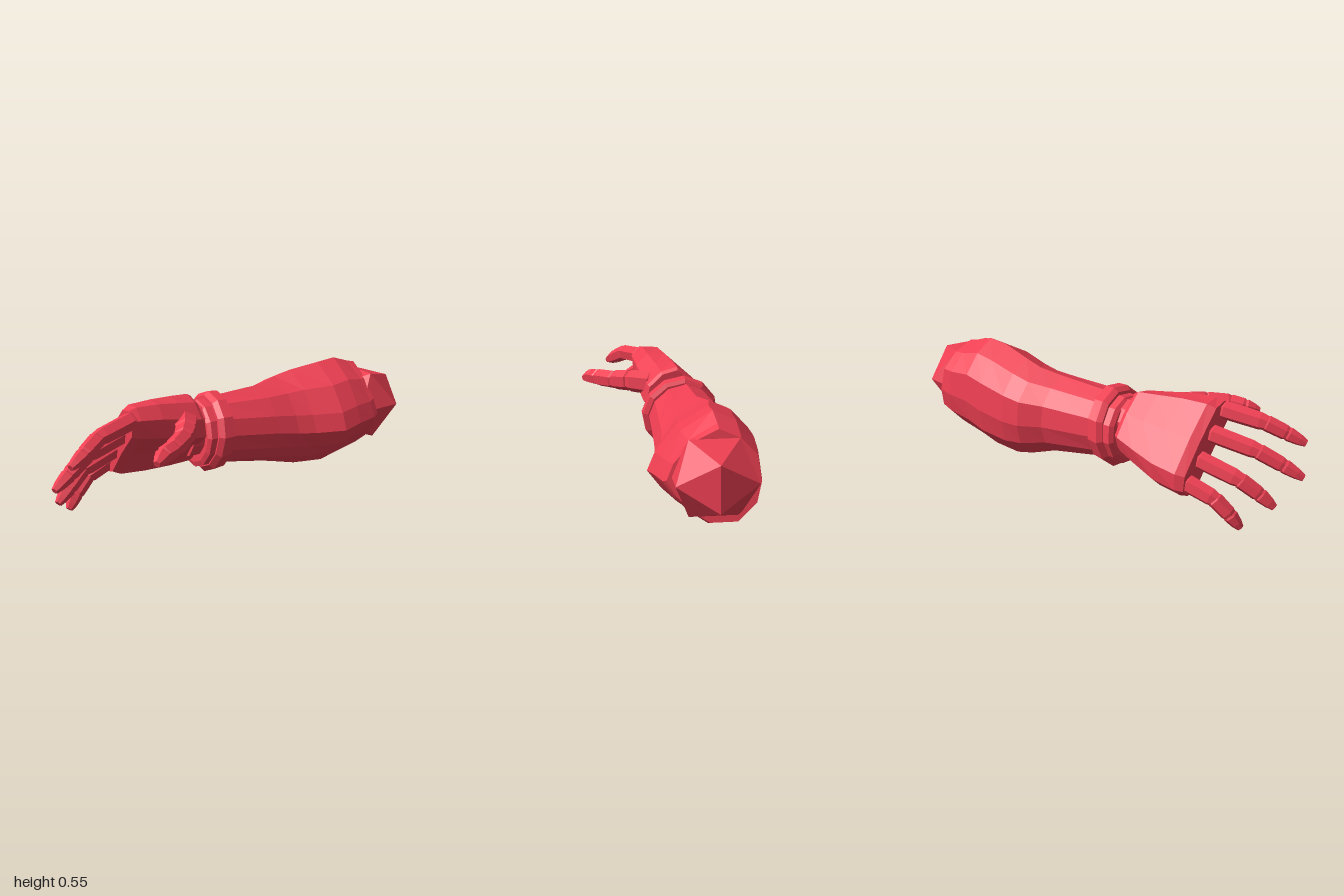
import * as THREE from 'three';

const material = new THREE.MeshStandardMaterial({ color: 0xee3f52, flatShading: true });

// Skins a list of rings (arrays of Vector3, counter-clockwise about the travel direction) and caps both ends
function loft(name, rings) {
  const n = rings[0].length, pos = [];
  const tri = (...pts) => pts.forEach(p => pos.push(p.x, p.y, p.z));
  for (let i = 0; i < rings.length - 1; i++) {
    for (let j = 0; j < n; j++) {
      const k = (j + 1) % n, a = rings[i], b = rings[i + 1];
      tri(a[j], a[k], b[k]);
      tri(a[j], b[k], b[j]);
    }
  }
  const centre = ring => ring.reduce((s, p) => s.add(p), new THREE.Vector3()).divideScalar(n);
  const first = rings[0], last = rings[rings.length - 1];
  const c0 = centre(first), c1 = centre(last);
  for (let j = 0; j < n; j++) {
    const k = (j + 1) % n;
    tri(c0, first[k], first[j]);
    tri(c1, last[j], last[k]);
  }
  const geo = new THREE.BufferGeometry();
  geo.setAttribute('position', new THREE.Float32BufferAttribute(pos, 3));
  geo.computeVertexNormals();
  const mesh = new THREE.Mesh(geo, material);
  mesh.name = name;
  return mesh;
}

// Unit outline of the forearm as [z, y], from the top round the back
const ARM = [[-0.11, 1], [-0.56, 0.81], [-0.92, 0.46], [-1, -0.09], [-0.92, -0.55], [-0.52, -0.98],
  [0.09, -1], [0.45, -0.75], [0.74, -0.48], [1, -0.15], [0.86, 0.18], [0.49, 0.65]];

// Ring across the arm fitted to y and z limits; round blends to a circle, tilts lean it along x
function armRing([x, y0, y1, z0, z1, round = 0, tiltY = 0, tiltZ = 0]) {
  return ARM.map(([z, y], i) => {
    const a = i / ARM.length * Math.PI * 2 + 0.1;
    const u = THREE.MathUtils.lerp(z, -Math.sin(a), round);
    const v = THREE.MathUtils.lerp(y, Math.cos(a), round);
    return new THREE.Vector3(x + tiltY * v + tiltZ * u,
      (y0 + y1) / 2 + v * (y1 - y0) / 2, (z0 + z1) / 2 + u * (z1 - z0) / 2);
  });
}

// Hand outline: first value along the knuckle line, second towards the back of the hand
const HAND = [[1, -0.4], [1, 0.4], [0.75, 1], [0, 1.1], [-0.75, 1], [-1, 0.4],
  [-1, -0.4], [-0.7, -1], [0, -0.9], [0.7, -1]];

function handRing([x, y, z, a, b]) {
  return HAND.map(([w, n]) => new THREE.Vector3(x,
    y + 0.72 * a * w + 0.69 * b * n, z + 0.69 * a * w - 0.72 * b * n));
}

// Jointed digit: one tapered hexagonal plate per bone
function digit(name, points, radii) {
  const group = new THREE.Group();
  group.name = name;
  const path = points.map(p => new THREE.Vector3(...p));
  for (let i = 0; i < path.length - 1; i++) {
    const a = path[i], b = path[i + 1];
    const t = b.clone().sub(a).normalize();
    const u = new THREE.Vector3(0, 0.72, 0.69).addScaledVector(t, -t.y * 0.72 - t.z * 0.69).normalize();
    const v = t.clone().cross(u);
    const tip = i === path.length - 2;
    const steps = tip ? [[-0.1, 0.85], [0.1, 1.08], [0.65, 1.08], [1, 0.85]]
      : [[-0.06, 0.8], [0.08, 1.02], [0.88, 1.06], [1.08, 0.85]];
    const rings = steps.map(([s, k]) => {
      const r = THREE.MathUtils.lerp(radii[i], radii[i + 1], Math.max(0, s)) * k;
      const c = a.clone().lerp(b, s);
      return Array.from({ length: 6 }, (_, j) => {
        const q = (j + 0.5) / 6 * Math.PI * 2;
        return c.clone().addScaledVector(u, Math.cos(q) * r).addScaledVector(v, Math.sin(q) * r);
      });
    });
    group.add(loft(name + 'Bone' + (i + 1), rings));
  }
  return group;
}

export function createModel() {
  const model = new THREE.Group();
  model.name = 'armoredForearm';

  // Elbow ball
  const elbow = new THREE.Mesh(new THREE.IcosahedronGeometry(0.209, 0), material);
  elbow.name = 'elbowJoint';
  elbow.geometry.rotateY(Math.PI / 2).rotateZ(0.07).scale(1, 0.95, 1);
  elbow.position.set(0.81, 0.308, -0.13);
  model.add(elbow);

  // Forearm sleeve, elbow to wrist: x, y limits, z limits, roundness, tilts
  model.add(loft('forearm', [
    [0.805, 0.11, 0.515, -0.33, 0.07, 0.2, -0.025, -0.025],
    [0.76, 0.09, 0.525, -0.34, 0.085, 0.1, -0.02, -0.01],
    [0.65, 0.063, 0.555, -0.345, 0.11],
    [0.55, 0.038, 0.545, -0.355, 0.13],
    [0.40, 0.038, 0.52, -0.36, 0.085, 0.15],
    [0.31, 0.058, 0.497, -0.35, 0.07, 0.3],
    [0.20, 0.088, 0.477, -0.30, 0.065, 0.5],
    [-0.08, 0.135, 0.465, -0.26, 0.06, 0.8],
  ].map(armRing)));

  // Wrist cuff: broad band, then narrow band, then the recessed joint
  model.add(loft('wristCuff', [
    [-0.055, 0.13, 0.47, -0.26, 0.065, 0.9, 0.015],
    [-0.068, 0.11, 0.488, -0.28, 0.088, 0.9, 0.018],
    [-0.12, 0.10, 0.492, -0.285, 0.09, 0.9, 0.022],
    [-0.143, 0.125, 0.475, -0.265, 0.07, 0.9, 0.02],
  ].map(armRing)));
  model.add(loft('wristBand', [
    [-0.13, 0.13, 0.46, -0.26, 0.06, 0.9, 0.02],
    [-0.175, 0.13, 0.46, -0.26, 0.06, 0.9, 0.015],
    [-0.188, 0.155, 0.44, -0.24, 0.04, 0.9, 0.01],
  ].map(armRing)));
  model.add(loft('wristJoint', [
    [-0.17, 0.19, 0.45, -0.21, 0.02, 1],
    [-0.25, 0.19, 0.45, -0.21, 0.02, 1],
  ].map(armRing)));

  // Hand, fanning out to the diagonal row of knuckles: x, y, z, half width, half thickness
  model.add(loft('hand', [
    [-0.205, 0.332, -0.093, 0.145, 0.112],
    [-0.225, 0.332, -0.093, 0.157, 0.12],
    [-0.32, 0.328, -0.095, 0.185, 0.115],
    [-0.44, 0.325, -0.095, 0.22, 0.103],
    [-0.56, 0.325, -0.09, 0.235, 0.09],
    [-0.60, 0.325, -0.085, 0.23, 0.07],
  ].map(handRing)));

  // Fingers, from the top of the knuckle row to the bottom
  const fingers = {
    indexFinger: [[-0.58, 0.465, 0.05], [-0.78, 0.43, 0.115], [-0.87, 0.385, 0.16], [-0.95, 0.345, 0.195]],
    middleFinger: [[-0.58, 0.38, -0.04], [-0.80, 0.33, 0.025], [-0.91, 0.27, 0.075], [-0.995, 0.22, 0.11]],
    ringFinger: [[-0.58, 0.285, -0.13], [-0.78, 0.225, -0.085], [-0.865, 0.16, -0.045], [-0.93, 0.105, -0.02]],
    littleFinger: [[-0.58, 0.2, -0.215], [-0.715, 0.15, -0.185], [-0.785, 0.08, -0.16], [-0.83, 0.018, -0.138]],
  };
  for (const [name, points] of Object.entries(fingers)) {
    model.add(digit(name, points, [0.044, 0.039, 0.034, 0.02]));
  }

  // Thumb
  model.add(digit('thumb', [[-0.29, 0.40, 0.02], [-0.35, 0.40, 0.13], [-0.4, 0.392, 0.2],
    [-0.49, 0.38, 0.275], [-0.555, 0.368, 0.303], [-0.61, 0.347, 0.344]],
  [0.058, 0.052, 0.046, 0.042, 0.038, 0.02]));

  return model;
}
